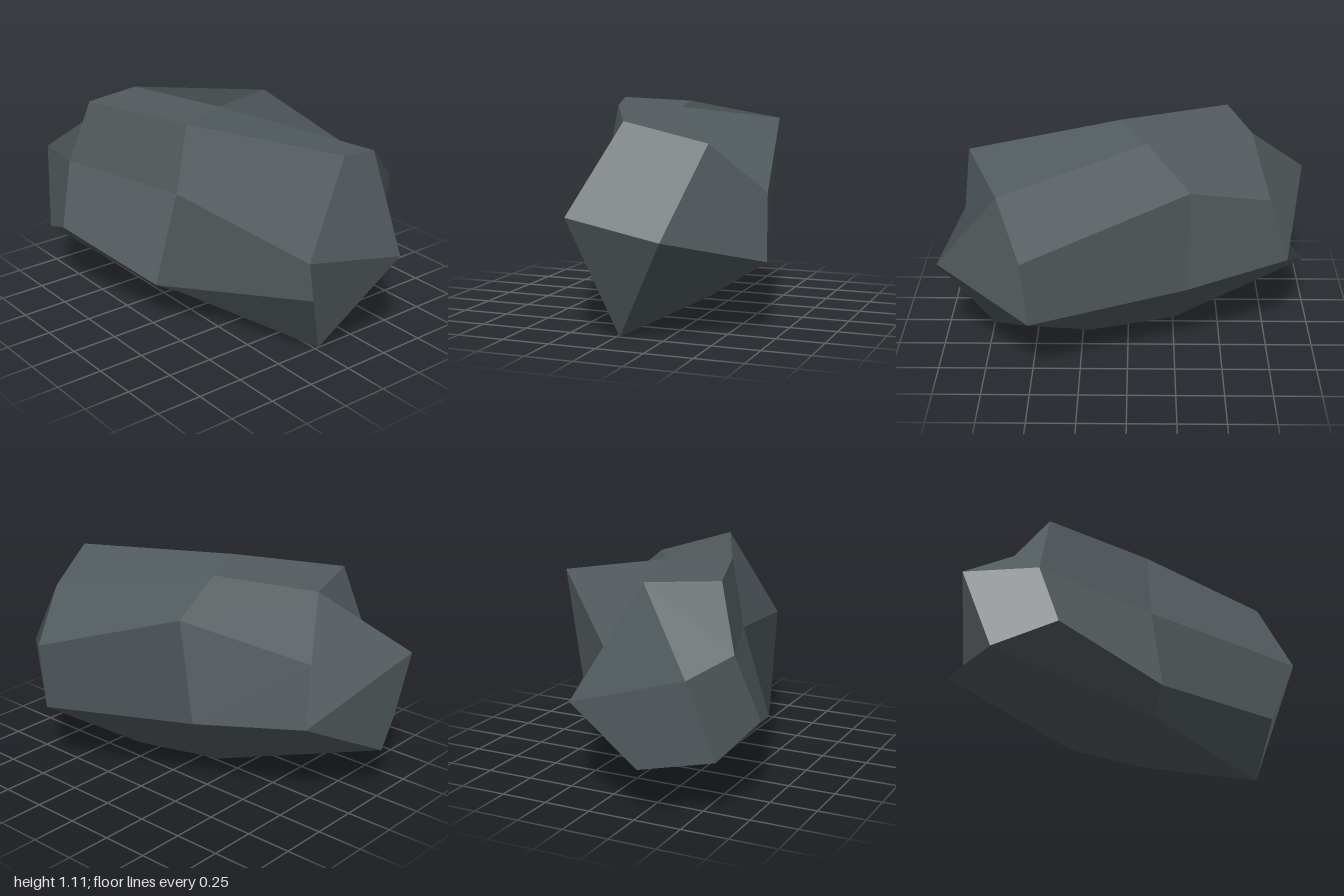
import * as THREE from 'three';

// Three eight-sided cross-sections, each running clockwise from the top left
// as seen from the front, plus one tip point at either end.
const frontRing = [
  [0.08, 1.08, 0.83], [0.45, 0.97, 0.66], [0.71, 0.73, 0.53], [0.70, 0.38, 0.50],
  [0.30, 0.12, 0.20], [0.02, 0, 0.75], [-0.08, 0.33, 0.82], [-0.20, 0.61, 0.91],
];
const middleRing = [
  [-0.29, 1.10, 0.04], [0.03, 1.09, -0.10], [0.52, 1.03, -0.31], [0.43, 0.44, -0.31],
  [0.16, 0.12, -0.25], [-0.34, 0.15, 0.05], [-0.51, 0.25, 0.05], [-0.36, 0.73, 0.04],
];
const backRing = [
  [-0.50, 1.11, -0.55], [-0.13, 1.09, -0.66], [0.04, 0.77, -0.76], [0.19, 0.49, -0.85],
  [-0.27, 0.26, -1.00], [-0.61, 0.30, -0.85], [-0.71, 0.43, -0.54], [-0.60, 0.77, -0.62],
];
const frontTip = [0.33, 0.53, 1.0];
const backTip = [-0.52, 0.73, -0.99];

// Facets are four-sided; both halves of a facet share one flat normal.
function facetGeometry(quads) {
  const positions = [];
  const normals = [];
  for (const quad of quads) {
    const [a, b, c, d] = quad.map((p) => new THREE.Vector3(...p));
    const normal = c.clone().sub(a).cross(d.clone().sub(b)).normalize();
    for (const p of [a, b, d, b, c, d]) {
      positions.push(p.x, p.y, p.z);
      normals.push(normal.x, normal.y, normal.z);
    }
  }
  const geometry = new THREE.BufferGeometry();
  geometry.setAttribute('position', new THREE.Float32BufferAttribute(positions, 3));
  geometry.setAttribute('normal', new THREE.Float32BufferAttribute(normals, 3));
  return geometry;
}

export function createModel() {
  const quads = [];

  // Sides: bridge neighbouring cross-sections
  for (const [near, far] of [[frontRing, middleRing], [middleRing, backRing]]) {
    for (let i = 0; i < 8; i++) {
      const j = (i + 1) % 8;
      quads.push([near[i], near[j], far[j], far[i]]);
    }
  }

  // Ends: four facets around each tip
  for (let i = 0; i < 8; i += 2) {
    const before = (i + 7) % 8;
    const after = i + 1;
    quads.push([frontTip, frontRing[after], frontRing[i], frontRing[before]]);
    quads.push([backTip, backRing[before], backRing[i], backRing[after]]);
  }

  const stone = new THREE.MeshStandardMaterial({ color: 0x525b5e });
  stone.name = 'slate grey stone';

  const rock = new THREE.Mesh(facetGeometry(quads), stone);
  rock.name = 'rock';

  const group = new THREE.Group();
  group.name = 'boulder';
  group.add(rock);
  return group;
}
